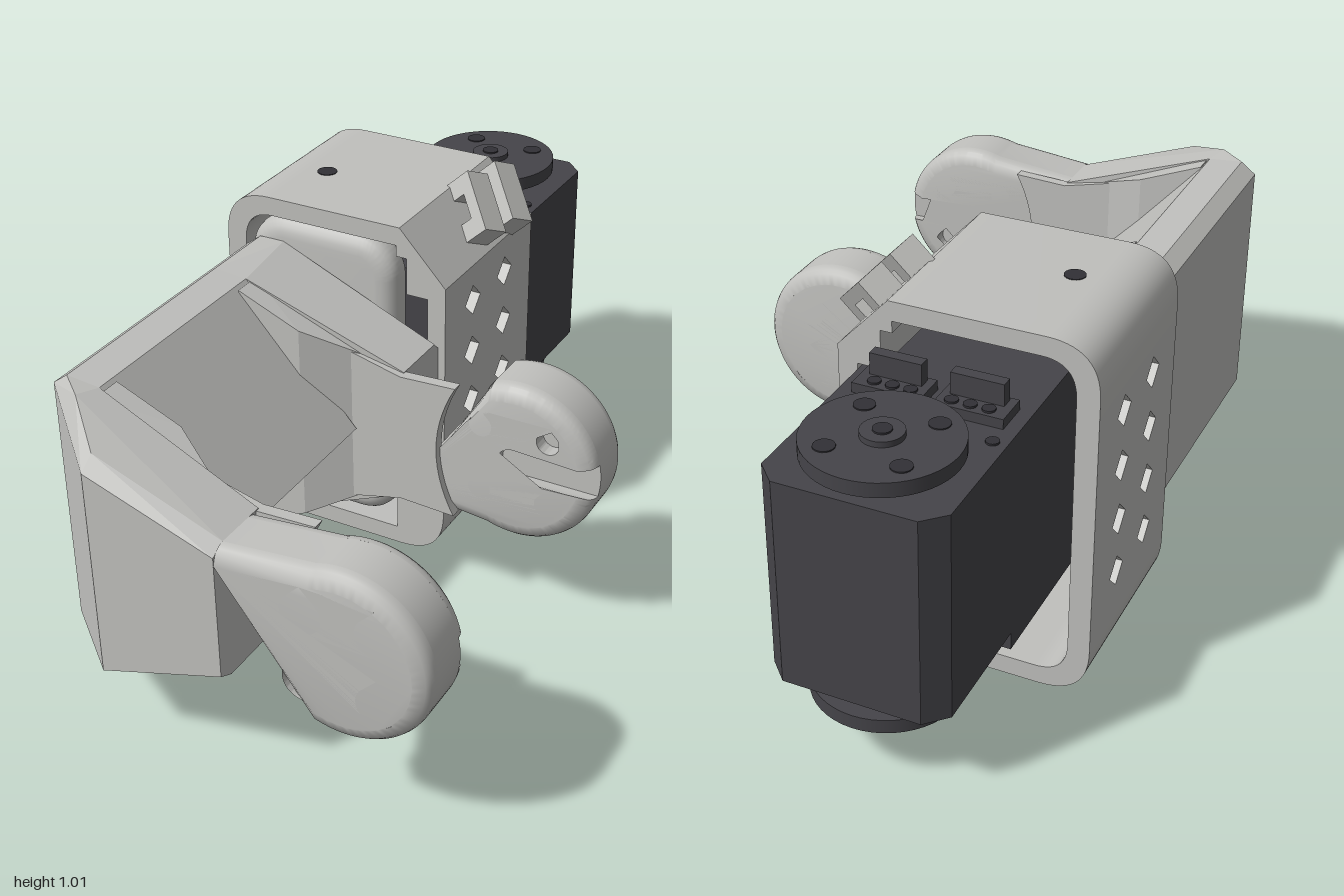
import * as THREE from 'three';
import { toCreasedNormals } from 'three/addons/utils/BufferGeometryUtils.js';
import { ConvexGeometry } from 'three/addons/geometries/ConvexGeometry.js';

const mat = (name, color) => Object.assign(new THREE.MeshStandardMaterial({ color }), { name });
const grey = mat('light grey plastic', 0xc0c0bd);
const dark = mat('charcoal', 0x454449);
const black = mat('dark recess', 0x323136);

function add(parent, name, geometry, material, x = 0, y = 0, z = 0) {
  const mesh = new THREE.Mesh(geometry, material);
  mesh.name = name;
  mesh.position.set(x, y, z);
  parent.add(mesh);
  return mesh;
}
const extrude = (shape, depth, opts = {}) => toCreasedNormals(
  new THREE.ExtrudeGeometry(shape, { depth, bevelEnabled: false, curveSegments: 14, ...opts }), 0.6);
const polygon = (pts) => new THREE.Shape(pts.map(([x, y]) => new THREE.Vector2(x, y)));
const box = (w, h, d) => new THREE.BoxGeometry(w, h, d);
const disc = (r, h, n = 40) => new THREE.CylinderGeometry(r, r, h, n);

// Convex solid from [x, halfHeight, z] triples mirrored in y
const hull = (pts) => new ConvexGeometry(pts.flatMap(([x, h, z]) =>
  [new THREE.Vector3(x, h, z), new THREE.Vector3(x, -h, z)]));

// Teardrop screw hole pointing up (s = 1) or down (s = -1)
function teardrop(x, y, r, s) {
  const p = new THREE.Path();
  const a = s > 0 ? Math.PI * 0.75 : Math.PI * 1.75;
  p.absarc(x, y, r, a, a + Math.PI * 1.5, false);
  p.lineTo(x, y + s * r * 1.414);
  p.closePath();
  return p;
}

// Rounded fork end, optionally with the horn slot open at the tip
const CX = 0.35, R = 0.215;
function forkShape(slot, holeR, s, centreHole) {
  const p = new THREE.Shape();
  p.moveTo(0.05, -0.18);
  if (slot) {
    p.absarc(CX, 0, R, -1.9, -0.21, false);
    p.absarc(CX, 0, 0.045, -Math.PI / 2, Math.PI / 2, true);
    p.absarc(CX, 0, R, 0.21, 1.9, false);
  } else p.absarc(CX, 0, R, -1.9, 1.9, false);
  p.lineTo(0.05, 0.18);
  p.closePath();
  for (const dx of [-0.09, 0.09]) for (const dy of [-0.09, 0.09])
    p.holes.push(teardrop(CX + dx, dy, holeR, s));
  if (centreHole && !slot) p.holes.push(teardrop(CX, 0, 0.03, s));
  return p;
}

// One fork layer; edge = 1 rounds the outer rim, -1 the inner rim
function forkLayer(shape, z, depth, edge) {
  const g = new THREE.ExtrudeGeometry(shape,
    { depth, bevelEnabled: false, curveSegments: 32, steps: edge ? 4 : 1 });
  const p = g.attributes.position;
  for (let i = 0; edge && i < p.count; i++) {
    const t = edge > 0 ? p.getZ(i) : depth - p.getZ(i);
    const inset = depth - Math.sqrt(Math.max(0, depth * depth - t * t));
    const x = p.getX(i), y = p.getY(i);
    const rho = x > CX ? Math.hypot(x - CX, y) : Math.abs(y);
    if (rho < (x > CX ? 0.19 : 0.17)) continue;
    const k = 1 - inset / rho;
    p.setXY(i, x > CX ? CX + (x - CX) * k : x, y * k);
  }
  g.translate(0, 0, z);
  return toCreasedNormals(g, 0.6);
}

// One arm of the U bracket, outer face toward local +z
function arm(name, front) {
  const g = new THREE.Group();
  g.name = name;
  const s = front ? 1 : -1;
  const root = [[-0.51, 0.325, 0.3], [-0.47, 0.355, 0.3], [-0.38, 0.347, 0.3], [0.05, 0.18, 0.33]];
  const outer = front
    ? [[-0.4, 0.355, 0.36], [0.05, 0.18, 0.47], [-0.28, 0.3, 0.47], [-0.28, 0.27, 0.51], [0.05, 0.16, 0.51]]
    : [[-0.51, 0.325, 0.51], [-0.47, 0.355, 0.51], [-0.4, 0.355, 0.51], [0.05, 0.18, 0.49], [0.05, 0.16, 0.51]];
  add(g, 'armRoot', hull([...root, ...outer]), grey);
  add(g, 'armGusset', hull([[-0.37, 0.34, 0.33], [-0.05, 0.2, 0.33], [-0.37, 0.34, 0.25], [-0.2, 0.27, 0.25]]), grey);
  add(g, 'forkOuterLayer', forkLayer(forkShape(false, 0.05, s, !front), 0.47, 0.04, 1), grey);
  add(g, 'forkCore', forkLayer(forkShape(false, 0.03, s, !front), 0.37, 0.1, 0), grey);
  add(g, 'forkSlotLayer', forkLayer(forkShape(true, 0.03, s, false), 0.33, 0.04, -1), grey);
  // Raised step that ends in a curve around the horn seat
  const step = polygon([[-0.12, 0.22], [-0.12, -0.22], [0.05, -0.178], [0.2, -0.185]]);
  step.quadraticCurveTo(0.1, 0, 0.2, 0.185);
  step.lineTo(0.05, 0.178);
  add(g, 'hornSeatStep', extrude(step, 0.03), grey, 0, 0, 0.31);
  if (!front) g.rotation.x = Math.PI;
  return g;
}

function bracket() {
  const g = new THREE.Group();
  g.name = 'forkBracket';
  g.position.set(0, 0.48, 0.49);
  g.add(arm('frontArm', true), arm('backArm', false));
  // Spine with a ridge facing the gap
  add(g, 'spine', hull([-0.3, 0.3].flatMap((z) =>
    [[-0.51, 0.325, z], [-0.47, 0.355, z], [-0.38, 0.347, z], [-0.07, 0, z]])), grey);
  return g;
}

function sleeve() {
  const g = new THREE.Group();
  g.name = 'mountingSleeve';
  const z0 = -0.52, depth = 0.5;
  // Top band with a chamfered corner
  const top = new THREE.Shape();
  top.moveTo(-0.57, 0.77);
  top.lineTo(-0.57, 0.82);
  top.quadraticCurveTo(-0.57, 0.95, -0.44, 0.95);
  for (const [x, y] of [[-0.06, 0.95], [0.07, 0.81], [0.07, 0.77], [-0.04, 0.77], [-0.04, 0.87],
    [-0.07, 0.87], [-0.07, 0.9], [-0.43, 0.9]]) top.lineTo(x, y);
  top.quadraticCurveTo(-0.515, 0.9, -0.515, 0.81);
  top.lineTo(-0.515, 0.77);
  add(g, 'topBand', extrude(top, depth), grey, 0, 0, z0);
  // Bottom band with the screw block
  const low = new THREE.Shape();
  low.moveTo(-0.57, 0.2);
  low.lineTo(-0.57, 0.13);
  low.quadraticCurveTo(-0.57, 0, -0.44, 0);
  low.lineTo(-0.06, 0);
  low.quadraticCurveTo(0.07, 0, 0.07, 0.13);
  for (const [x, y] of [[0.07, 0.2], [-0.07, 0.2], [-0.07, 0.05], [-0.43, 0.05]]) low.lineTo(x, y);
  low.quadraticCurveTo(-0.515, 0.05, -0.515, 0.14);
  low.lineTo(-0.515, 0.2);
  add(g, 'bottomBand', extrude(low, depth), grey, 0, 0, z0);
  // Side walls with diamond vents
  const wall = polygon([[0.02, 0.2], [0.52, 0.2], [0.52, 0.77], [0.02, 0.77]]);
  const r = 0.042;
  for (const u of [0.175, 0.36]) for (const y of [0.265, 0.413, 0.562, 0.71])
    wall.holes.push(polygon([[u - r, y], [u, y + r], [u + r, y], [u, y - r]]));
  add(g, 'leftWall', extrude(wall, 0.05).rotateY(Math.PI / 2), grey, 0.02);
  add(g, 'rightWall', extrude(wall, 0.055).rotateY(Math.PI / 2), grey, -0.57);
  // Screw holes
  for (const x of [-0.39, -0.06]) add(g, 'bottomScrewHole', disc(0.026, 0.006, 24), black, x, 0.002, -0.23);
  add(g, 'topScrewHole', disc(0.026, 0.006, 24), black, -0.39, 0.949, -0.23);
  // Rounded flange in the sleeve mouth
  const f = new THREE.Shape(), [x0, x1, y0, y1, c] = [-0.46, -0.13, 0.115, 0.845, 0.06];
  f.moveTo(x0 + c, y0);
  f.absarc(x1 - c, y0 + c, c, -Math.PI / 2, 0);
  f.absarc(x1 - c, y1 - c, c, 0, Math.PI / 2);
  f.absarc(x0 + c, y1 - c, c, Math.PI / 2, Math.PI);
  f.absarc(x0 + c, y0 + c, c, Math.PI, Math.PI * 1.5);
  add(g, 'mouthFlange', extrude(f, 0.02, { bevelEnabled: true, bevelSize: 0.05, bevelThickness: 0.04, bevelSegments: 5 }),
    grey, 0, 0, -0.08);
  // Pair of slanted cable clips on the chamfer
  const clips = new THREE.Group();
  clips.name = 'cableClips';
  clips.position.set(0.005, 0.88, 0);
  clips.rotation.z = -0.82;
  for (const [x, z] of [[0.012, -0.41], [-0.012, -0.285]]) {
    const clip = new THREE.Group();
    clip.name = 'cableClip';
    clip.position.set(x, 0, z);
    clip.rotation.y = -0.55;
    add(clip, 'clipBar', box(0.17, 0.035, 0.075), grey, 0, 0.055, 0);
    for (const e of [-1, 1]) add(clip, 'clipFoot', box(0.05, 0.05, 0.075), grey, e * 0.06, 0.02, 0);
    clips.add(clip);
  }
  g.add(clips);
  return g;
}

function servo() {
  const g = new THREE.Group();
  g.name = 'servo';
  // Body with chamfered rear corners
  const plan = polygon([[-0.42, 0.175], [0.02, 0.175], [0.02, 0.95], [-0.03, 1], [-0.37, 1], [-0.42, 0.95]]);
  add(g, 'servoBody', extrude(plan, 0.53).rotateX(-Math.PI / 2), dark, 0, 0.225, 0);
  add(g, 'servoBase', box(0.44, 0.05, 0.455), dark, -0.2, 0.203, -0.4075);
  // Output and idler horns with screw recesses
  for (const [name, y, s] of [['topHorn', 0.792, 1], ['bottomHorn', 0.17, -1]]) {
    const horn = new THREE.Group();
    horn.name = name;
    horn.position.set(-0.2, y, -0.82);
    add(horn, 'hornDisc', disc(0.18, 0.036, 48), dark);
    add(horn, 'hornHub', disc(0.05, 0.03, 32), dark, 0, s * 0.017, 0);
    add(horn, 'hornCollar', disc(0.09, 0.07, 32), dark, 0, -s * 0.03, 0);
    add(horn, 'centreScrew', disc(0.022, 0.006, 20), black, 0, s * 0.033, 0);
    for (const dx of [-0.09, 0.09]) for (const dz of [-0.09, 0.09])
      add(horn, 'hornScrewHole', disc(0.025, 0.006, 20), black, dx, s * 0.018, dz);
    g.add(horn);
  }
  // Cable sockets with three pins each
  for (const side of [-1, 1]) {
    add(g, 'cableSocket', box(0.17, 0.03, 0.09), dark, -0.2 + side * 0.1, 0.765, -0.57);
    add(g, 'socketPost', box(0.13, 0.07, 0.03), dark, -0.2 + side * 0.1, 0.8, -0.55);
    for (let i = -1; i <= 1; i++)
      add(g, 'socketPin', disc(0.016, 0.006, 16), black, -0.2 + side * 0.095 + i * 0.045, 0.782, -0.59);
    add(g, 'caseScrew', disc(0.016, 0.006, 16), black, -0.2 + side * 0.185, 0.757, -0.67);
  }
  return g;
}

export function createModel() {
  const model = new THREE.Group();
  model.name = 'servoForkBracket';
  model.add(bracket(), sleeve(), servo());
  return model;
}
